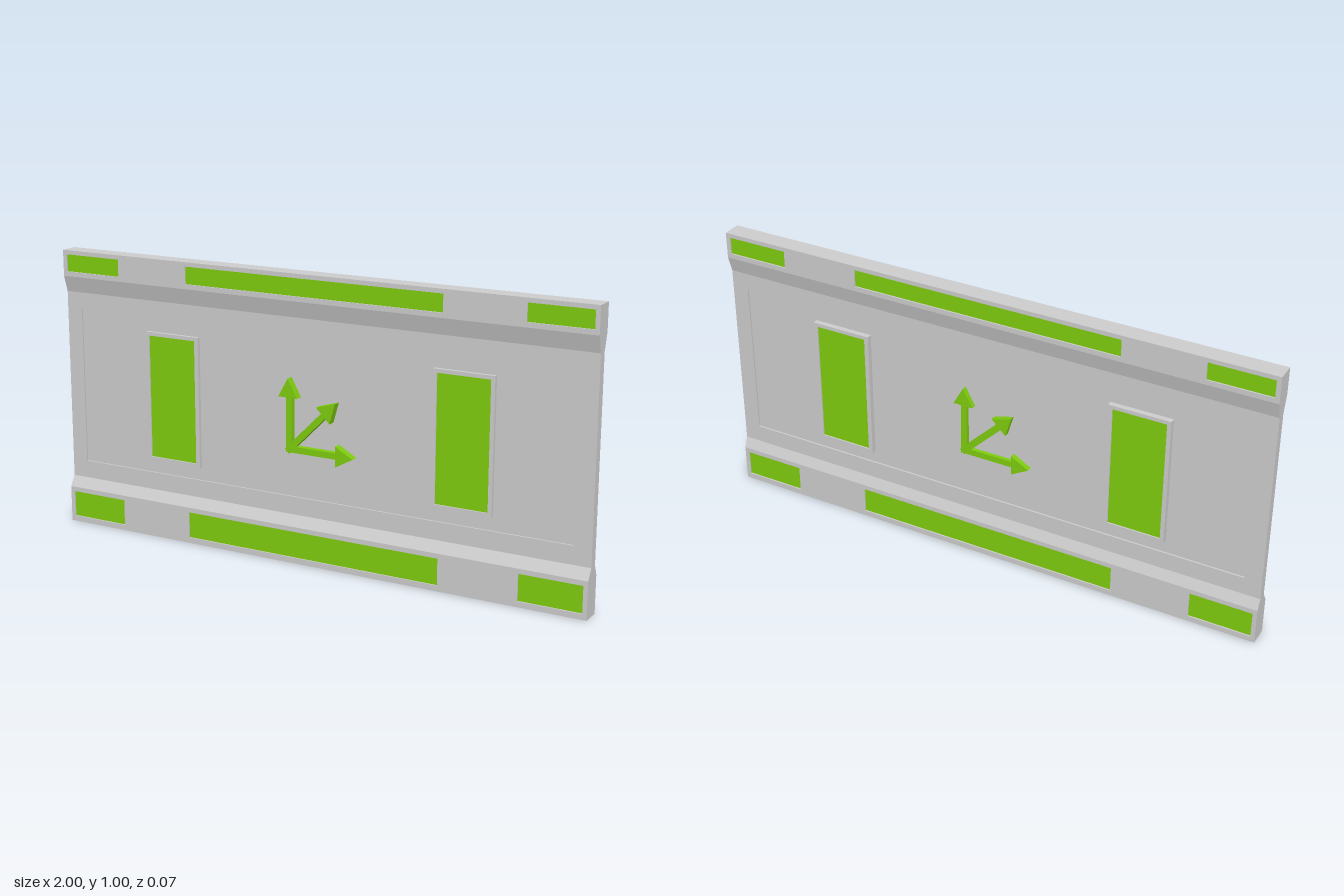
import * as THREE from 'three';

const grey = new THREE.MeshStandardMaterial({ color: 0xcccccc, flatShading: true });
const green = new THREE.MeshStandardMaterial({ color: 0x7dcb0f, flatShading: true });
const DEPTH = 0.006; // depth of the recesses

// Depths outward from the middle plane on each side of the slab
const FRONT = { top: 0.032, bottom: 0.037, core: 0.0145, frame: 0.021, shaft: 0.029, head: 0.036 };
const BACK = { top: 0.034, bottom: 0.033, core: 0.017, frame: 0.03, shaft: 0.025, head: 0.03 };

// Rectangles are [x0, y0, x1, y1]
const CORE = [-0.94, 0.23, 0.94, 0.79];
const FRAME = [0.445, 0.275, 0.662, 0.74];
const FRAME_PAD = [0.46, 0.29, 0.648, 0.727];
const PAD_SPANS = [[-0.985, -0.763], [-0.485, 0.483], [0.765, 0.985]];

function add(parent, name, geometry, material) {
  const mesh = new THREE.Mesh(geometry, material);
  mesh.name = name;
  parent.add(mesh);
  return mesh;
}

function corners([x0, y0, x1, y1]) {
  return [[x0, y0], [x1, y0], [x1, y1], [x0, y1]].map(([x, y]) => new THREE.Vector2(x, y));
}

// Flat plate between two depths, with rectangular holes
function plate(rect, holes, z0, z1) {
  const shape = new THREE.Shape(corners(rect));
  for (const hole of holes) shape.holes.push(new THREE.Path(corners(hole).reverse()));
  return new THREE.ExtrudeGeometry(shape, { depth: z1 - z0, bevelEnabled: false }).translate(0, 0, z0);
}

// Half outline of the slab from bottom to top as [y, depth]; flats are lowered for the face plates
function halfProfile(s) {
  return [
    [0, s.bottom - DEPTH], [0.13, s.bottom - DEPTH], [0.13, s.bottom],
    [0.167, s.core], [0.167, s.core - DEPTH], [0.85, s.core - DEPTH], [0.85, s.core],
    [0.907, s.top], [0.907, s.top - DEPTH], [1, s.top - DEPTH],
  ];
}

function createSlab() {
  const points = [
    ...halfProfile(FRONT).map(([y, z]) => new THREE.Vector2(-z, y)),
    ...halfProfile(BACK).reverse().map(([y, z]) => new THREE.Vector2(z, y)),
  ];
  const geometry = new THREE.ExtrudeGeometry(new THREE.Shape(points), { depth: 2, bevelEnabled: false });
  return geometry.rotateY(Math.PI / 2).translate(-1, 0, 0);
}

// Arrow with a low shaft and a thicker triangular head
function createArrow(x, y, angle, length, s) {
  const arrow = new THREE.Group();
  arrow.name = 'arrow';
  const base = s.core - DEPTH;
  const neck = length - 0.065;
  add(arrow, 'arrowShaft', plate([-0.011, -0.011, neck, 0.011], [], base, s.shaft), green);
  const head = new THREE.Shape([
    new THREE.Vector2(neck, -0.036), new THREE.Vector2(length, 0), new THREE.Vector2(neck, 0.036),
  ]);
  const geometry = new THREE.ExtrudeGeometry(head, { depth: s.head - base, bevelEnabled: false });
  add(arrow, 'arrowHead', geometry.translate(0, 0, base), green);
  arrow.position.set(x, y, 0);
  arrow.rotation.z = angle;
  return arrow;
}

function createSide(name, s) {
  const side = new THREE.Group();
  side.name = name;

  // Top and bottom rails with inset coloured pads
  const rails = [
    ['bottomRail', 0, 0.13, 0.02, 0.113, s.bottom],
    ['topRail', 0.907, 1, 0.924, 0.985, s.top],
  ];
  for (const [railName, y0, y1, p0, p1, z] of rails) {
    const pads = PAD_SPANS.map(([a, b]) => [a, p0, b, p1]);
    add(side, railName, plate([-1, y0, 1, y1], pads, z - DEPTH, z), grey);
    for (const pad of pads) {
      add(side, 'railPad', plate(pad, [], z - DEPTH, z - DEPTH + 0.001), green);
    }
  }

  // Middle face with its large shallow recess
  add(side, 'panelFace', plate([-1, 0.167, 1, 0.85], [CORE], s.core - DEPTH, s.core), grey);

  // Two raised frames holding coloured pads
  for (const sign of [-1, 1]) {
    const place = ([x0, y0, x1, y1]) => (sign > 0 ? [x0, y0, x1, y1] : [-x1, y0, -x0, y1]);
    const pad = place(FRAME_PAD);
    add(side, 'padFrame', plate(place(FRAME), [pad], s.core - DEPTH, s.frame), grey);
    add(side, 'framePad', plate(pad, [], s.core - DEPTH, s.frame - 0.005), green);
  }

  // Three arrows sharing one corner
  side.add(createArrow(-0.08, 0.4, 0, 0.247, s));
  side.add(createArrow(-0.08, 0.4, Math.PI / 2, 0.245, s));
  side.add(createArrow(-0.08, 0.4, Math.PI / 4, 0.255, s));
  return side;
}

export function createModel() {
  const model = new THREE.Group();
  model.name = 'panel';
  add(model, 'slab', createSlab(), grey);
  model.add(createSide('frontSide', FRONT));
  const back = createSide('backSide', BACK);
  back.rotation.y = Math.PI;
  model.add(back);
  return model;
}
